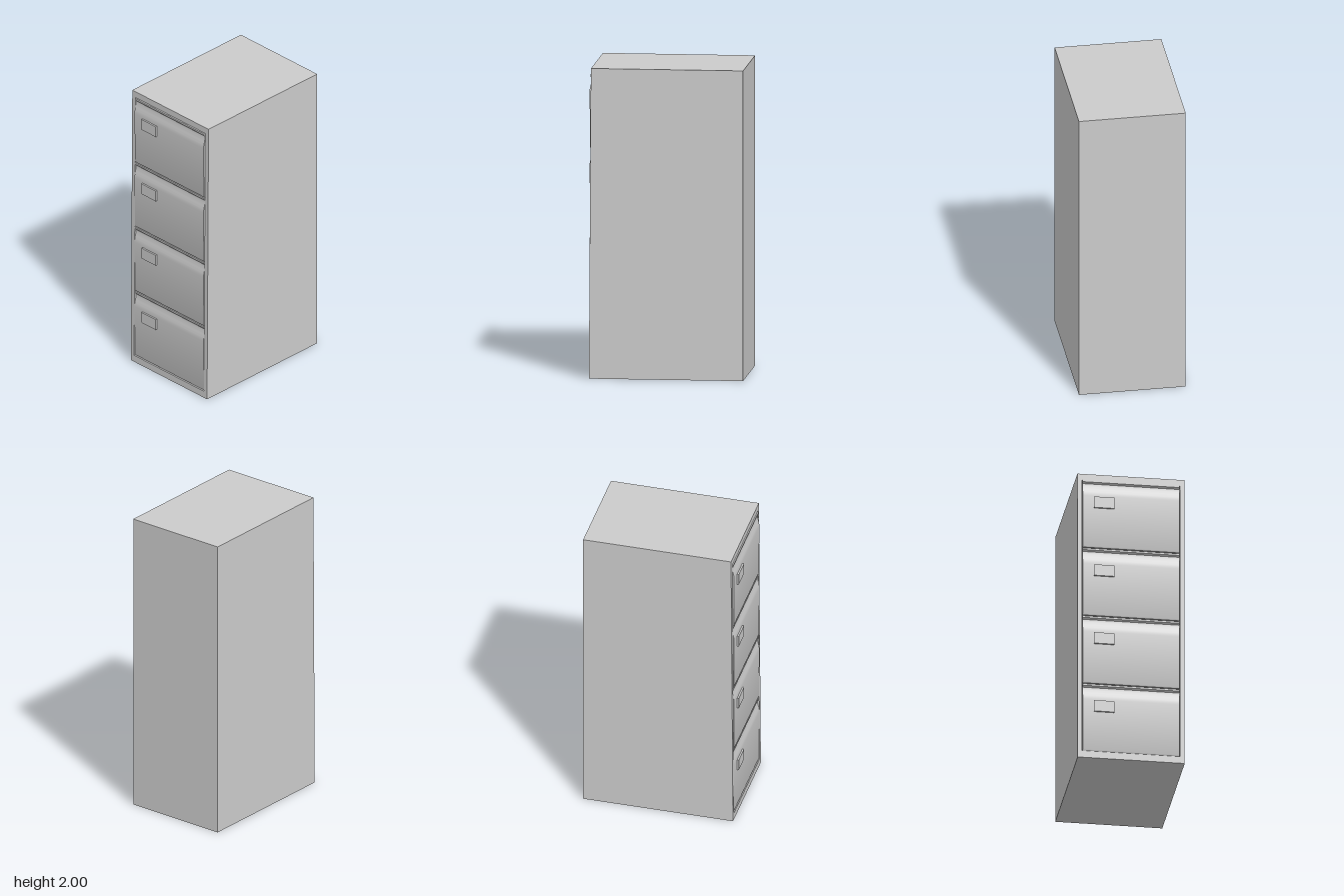
import * as THREE from 'three';
import { toCreasedNormals } from 'three/addons/utils/BufferGeometryUtils.js';

const material = new THREE.MeshStandardMaterial({ color: 0xcccccc });
const HALF_W = 0.345, HEIGHT = 2, BACK = -0.5, RECESS = 0.45;
const INNER_X = 0.316, INNER_BOTTOM = 0.047, INNER_TOP = 1.958;

function part(name, geometry) {
  const mesh = new THREE.Mesh(geometry, material);
  mesh.name = name;
  return mesh;
}

function rectangle(target, x0, y0, x1, y1) {
  target.moveTo(x0, y0);
  target.lineTo(x1, y0);
  target.lineTo(x1, y1);
  target.lineTo(x0, y1);
  target.closePath();
  return target;
}

// Front rim around the drawers, leaning back slightly towards the top
function frameGeometry() {
  const shape = rectangle(new THREE.Shape(), -HALF_W, 0, HALF_W, HEIGHT);
  shape.holes.push(rectangle(new THREE.Path(), -INNER_X, INNER_BOTTOM, INNER_X, INNER_TOP));
  const geometry = new THREE.ExtrudeGeometry(shape, { depth: 1, bevelEnabled: false });
  const p = geometry.attributes.position;
  for (let i = 0; i < p.count; i++) {
    const front = 0.49 - 0.0065 * p.getY(i);
    p.setZ(i, p.getZ(i) > 0.5 ? front : RECESS);
  }
  geometry.computeVertexNormals();
  return geometry;
}

// Drawer front: side profile with a top lip, a finger hollow and a slight bulge
function drawerGeometry(height) {
  const shape = new THREE.Shape();
  shape.moveTo(RECESS, 0);
  shape.lineTo(0.482, 0);
  shape.quadraticCurveTo(0.486, 0.002, 0.486, 0.008);
  shape.lineTo(0.489, height - 0.11);
  shape.bezierCurveTo(0.489, height - 0.07, 0.476, height - 0.06, 0.475, height - 0.022);
  shape.lineTo(0.484, height - 0.012);
  shape.lineTo(0.484, height);
  shape.lineTo(RECESS, height);
  shape.closePath();
  const width = 2 * INNER_X - 0.008;
  const geometry = new THREE.ExtrudeGeometry(shape, { depth: width, bevelEnabled: false, curveSegments: 10 });
  geometry.rotateY(-Math.PI / 2);
  geometry.translate(width / 2, 0, 0);
  return toCreasedNormals(geometry, 0.5);
}

export function createModel() {
  const model = new THREE.Group();
  model.name = 'filingCabinet';

  // Cabinet body
  const body = part('body', new THREE.BoxGeometry(2 * HALF_W, HEIGHT, RECESS - BACK));
  body.position.set(0, HEIGHT / 2, (RECESS + BACK) / 2);
  model.add(body, part('frontFrame', frameGeometry()));

  // Four drawers, each with a label holder
  const count = 4, gap = 0.006;
  const pitch = (INNER_TOP - INNER_BOTTOM) / count;
  const height = pitch - gap;
  const front = drawerGeometry(height);
  const label = new THREE.BoxGeometry(0.13, 0.076, 0.02);
  for (let i = 0; i < count; i++) {
    const drawer = new THREE.Group();
    drawer.name = 'drawer' + (i + 1);
    drawer.position.y = INNER_BOTTOM + i * pitch + gap / 2;
    const holder = part('labelHolder', label);
    holder.position.set(-0.175, height - 0.157, 0.49);
    drawer.add(part('drawerFront', front), holder);
    model.add(drawer);
  }
  return model;
}
